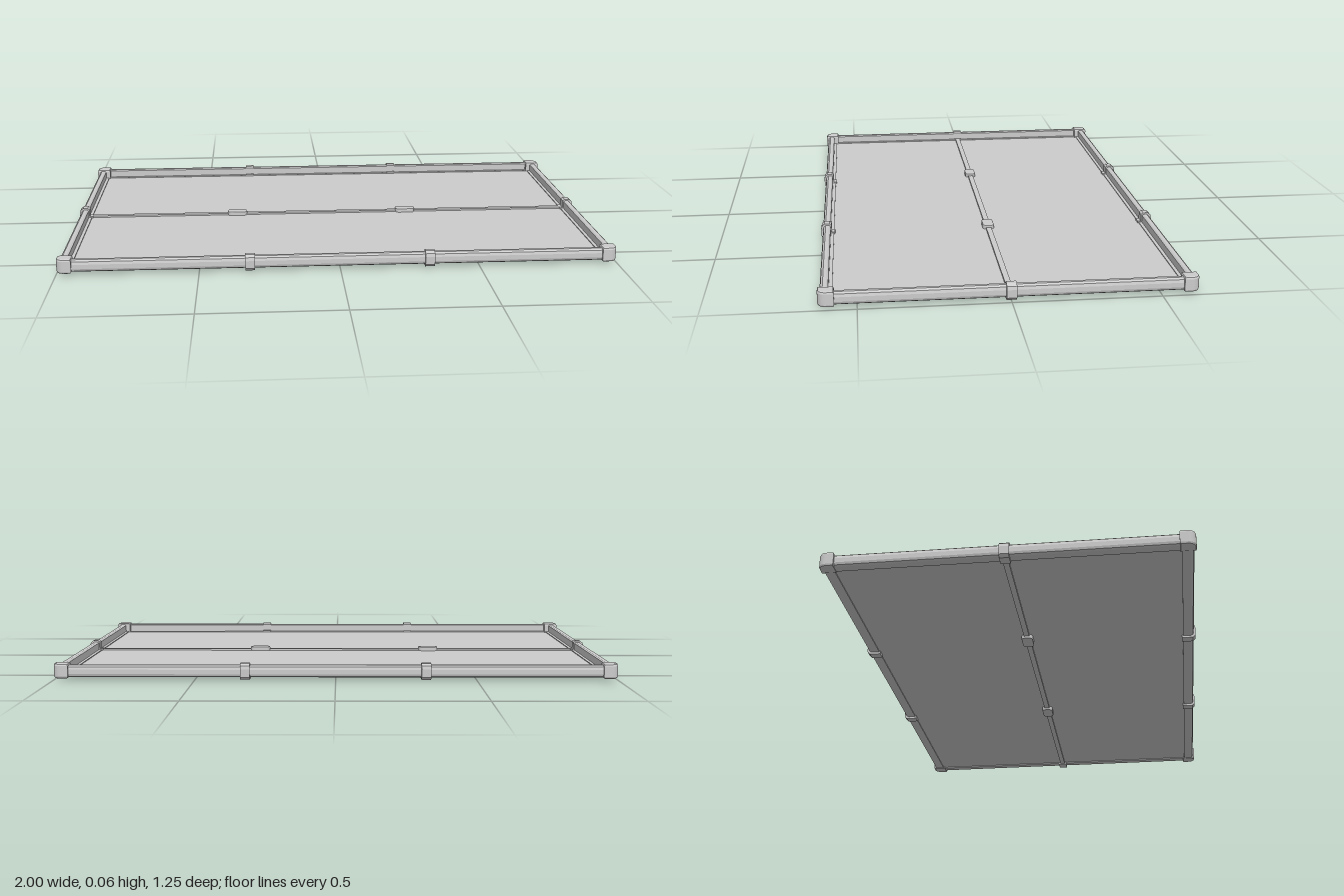
import * as THREE from 'three';

const material = new THREE.MeshStandardMaterial({ color: 0xcccccc, flatShading: true });

function mesh(name, geometry, parent) {
  const m = new THREE.Mesh(geometry, material);
  m.name = name;
  parent.add(m);
  return m;
}

// Cross-section (x outward, y up) swept along z, centred
function sweep(points, length) {
  const shape = new THREE.Shape(points.map(([x, y]) => new THREE.Vector2(x, y)));
  return new THREE.ExtrudeGeometry(shape, { depth: length, bevelEnabled: false })
    .translate(0, 0, -length / 2);
}

// Flat outline (x, -z) raised from y0 to y1 with a small bevel
function slab(shape, y0, y1, bevel) {
  return new THREE.ExtrudeGeometry(shape, {
    depth: y1 - y0 - 2 * bevel, bevelThickness: bevel, bevelSize: bevel,
    bevelOffset: -bevel, bevelSegments: 2, curveSegments: 6,
  }).rotateX(-Math.PI / 2).translate(0, y0 + bevel, 0);
}

// Frame rail: rounded outer wall, with a ledge inside that holds the panel
const railProfile = [
  [-0.040, 0.012], [-0.010, 0.012], [-0.003, 0.016], [0, 0.024], [0, 0.040],
  [-0.003, 0.050], [-0.010, 0.056], [-0.022, 0.056], [-0.028, 0.052],
  [-0.028, 0.025], [-0.040, 0.025],
];
// Clip that wraps a rail
const clipProfile = [
  [-0.044, 0.004], [-0.004, 0.004], [0.006, 0.014], [0.007, 0.042],
  [0.004, 0.054], [-0.006, 0.062], [-0.024, 0.062], [-0.032, 0.056],
  [-0.032, 0.029], [-0.044, 0.029],
];

export function createModel() {
  const model = new THREE.Group();
  model.name = 'framedPanel';
  const X = 0.99, Z = 0.62;

  // Panel in two halves, either side of the middle joint
  for (const s of [-1, 1]) {
    mesh('panel', new THREE.BoxGeometry(2 * X - 0.06, 0.006, Z - 0.03), model)
      .position.set(0, 0.019, s * (Z - 0.03) / 2);
  }

  // Four rails with their clips
  const sides = [
    { angle: 0, offset: X, length: 2 * Z - 0.04, clips: [0] },
    { angle: Math.PI, offset: X, length: 2 * Z - 0.04, clips: [0] },
    { angle: -Math.PI / 2, offset: Z, length: 2 * X - 0.04, clips: [-0.32, 0.32] },
    { angle: Math.PI / 2, offset: Z, length: 2 * X - 0.04, clips: [-0.32, 0.32] },
  ];
  for (const { angle, offset, length, clips } of sides) {
    const side = new THREE.Group();
    side.name = 'frameSide';
    side.rotation.y = angle;
    model.add(side);
    mesh('rail', sweep(railProfile, length), side).position.x = offset;
    for (const at of clips) {
      mesh('railClip', sweep(clipProfile, 0.034), side).position.set(offset, 0, at);
    }
  }

  // Corner caps, rounded on the outer corner
  const corner = new THREE.Shape();
  const size = 0.054, r = 0.028;
  corner.moveTo(-size, -size);
  corner.lineTo(0, -size);
  corner.lineTo(0, -r);
  corner.absarc(-r, -r, r, 0, Math.PI / 2, false);
  corner.lineTo(-size, 0);
  corner.lineTo(-size, -size);
  const capGeometry = slab(corner, 0.008, 0.062, 0.008);
  for (const [sx, sz, angle] of [[1, -1, 0], [-1, -1, Math.PI / 2], [-1, 1, Math.PI], [1, 1, -Math.PI / 2]]) {
    const cap = mesh('cornerCap', capGeometry, model);
    cap.position.set(sx * 0.998, 0, sz * 0.627);
    cap.rotation.y = angle;
  }

  // Middle joint strip: flanges above and below the panel
  for (const y of [0.012, 0.025]) {
    mesh('middleStrip', new THREE.BoxGeometry(2 * X - 0.07, 0.007, 0.02), model).position.y = y;
  }

  // Rounded clamps on the middle strip
  const w = 0.039, d = 0.021, e = 0.017;
  const clamp = new THREE.Shape();
  clamp.moveTo(-w + e, -d);
  clamp.lineTo(w - e, -d);
  clamp.quadraticCurveTo(w, -d, w, 0);
  clamp.quadraticCurveTo(w, d, w - e, d);
  clamp.lineTo(-w + e, d);
  clamp.quadraticCurveTo(-w, d, -w, 0);
  clamp.quadraticCurveTo(-w, -d, -w + e, -d);
  for (const x of [-0.37, 0.308]) {
    mesh('middleClamp', slab(clamp, 0, 0.037, 0.003), model).position.x = x;
  }

  return model;
}
